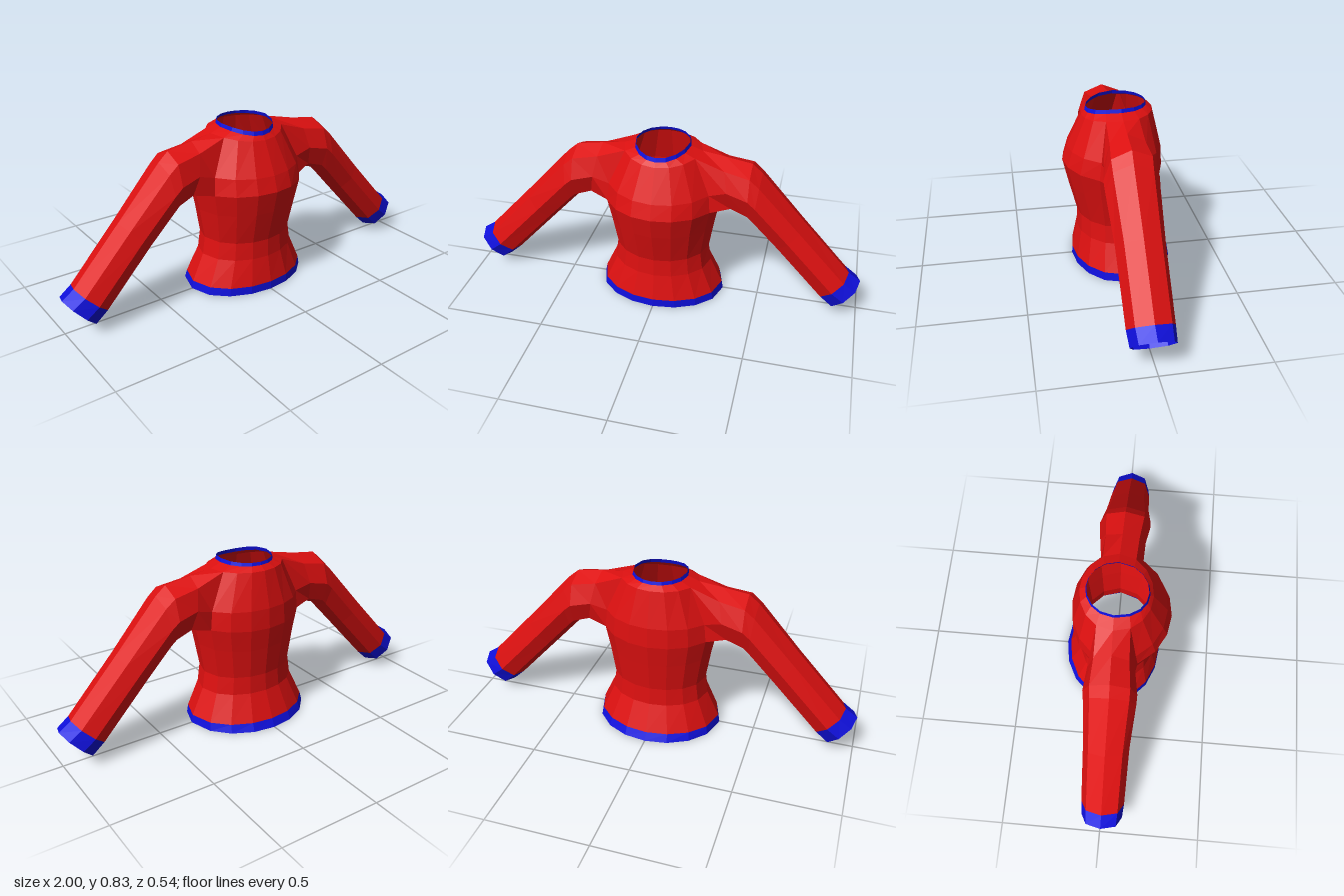
import * as THREE from 'three';

const V = (x, y, z) => new THREE.Vector3(x, y, z);

// angles of the columns round the body, starting at the left side (+x)
const quarter = [0, 27, 49, 70];
const angles = [0, 90, 180, 270].flatMap((base, q) =>
  (q % 2 ? [0, 20, 41, 63] : quarter).map(a => THREE.MathUtils.degToRad(base + a)));

// body ring: side height and half width, front height and depth, back height and depth
function bodyRing([ySide, halfWidth, yFront, zFront, yBack, zBack]) {
  return angles.map(a => {
    const s = Math.sin(a);
    const front = s > 0;
    const y = ySide + ((front ? yFront : yBack) - ySide) * s * s;
    return V(halfWidth * Math.cos(a), y, s * (front ? zFront : zBack));
  });
}

// sleeve ring: top and bottom points, back and front depth
function sleeveRing([tx, ty, bx, by, zBack, zFront]) {
  const cx = (tx + bx) / 2, cy = (ty + by) / 2, zMid = (zBack + zFront) / 2;
  const up = [1, 0.73, 0, -0.73, -1, -0.73, 0, 0.73];
  const out = [0, -0.73, -1, -0.73, 0, 0.73, 1, 0.73];
  return up.map((u, i) => V(cx + (u * (tx - bx)) / 2, cy + (u * (ty - by)) / 2,
    zMid + (out[i] * (zFront - zBack)) / 2));
}

// faceted skin through closed rings; skip(row, column) leaves openings
function loft(rings, skip = () => false) {
  const pos = [];
  for (let r = 0; r < rings.length - 1; r++) {
    const A = rings[r], B = rings[r + 1], n = A.length;
    for (let i = 0; i < n; i++) {
      if (skip(r, i)) continue;
      const j = (i + 1) % n;
      for (const p of [A[j], A[i], B[i], A[j], B[i], B[j]]) pos.push(p.x, p.y, p.z);
    }
  }
  const g = new THREE.BufferGeometry();
  g.setAttribute('position', new THREE.Float32BufferAttribute(pos, 3));
  g.computeVertexNormals();
  return g;
}

export function createModel() {
  const group = new THREE.Group();
  const red = new THREE.MeshStandardMaterial({ color: 0xdd1010, side: THREE.DoubleSide });
  red.name = 'red knit';
  const blue = new THREE.MeshStandardMaterial({ color: 0x0f0fdd, side: THREE.DoubleSide });
  blue.name = 'blue trim';
  const add = (name, geometry, material) => {
    const mesh = new THREE.Mesh(geometry, material);
    mesh.name = name;
    group.add(mesh);
  };

  const body = [
    [0, 0.32, 0, 0.235, 0, 0.27],
    [0.04, 0.312, 0.04, 0.233, 0.04, 0.25],
    [0.175, 0.25, 0.175, 0.207, 0.175, 0.193],
    [0.265, 0.237, 0.265, 0.203, 0.265, 0.187],
    [0.42, 0.262, 0.43, 0.245, 0.41, 0.203],
    [0.53, 0.285, 0.54, 0.27, 0.52, 0.217],
    [0.62, 0.275, 0.615, 0.246, 0.62, 0.212],
    [0.795, 0.19, 0.77, 0.172, 0.795, 0.17],
    [0.815, 0.135, 0.79, 0.156, 0.815, 0.142],
    [0.833, 0.13, 0.81, 0.15, 0.83, 0.137],
  ].map(bodyRing);

  // body with an armhole two columns wide on each side
  const armhole = (r, i) => (r === 4 || r === 5) && [15, 0, 7, 8].includes(i);
  add('hem', loft(body.slice(0, 2)), blue);
  add('torso', loft(body.slice(1, 9), armhole), red);
  add('collar', loft(body.slice(8)), blue);

  // sleeve starts on the armhole edge
  const [low, mid, high] = body.slice(5, 8);
  const seam = [high[0], high[15], mid[15], low[15], low[0], low[1], mid[1], high[1]];
  const sleeve = [seam, ...[
    [0.30, 0.78, 0.355, 0.51, -0.108, 0.115],
    [0.43, 0.76, 0.43, 0.485, -0.12, 0.133],
    [0.48, 0.717, 0.455, 0.46, -0.115, 0.132],
    [0.70, 0.475, 0.57, 0.335, -0.105, 0.117],
    [0.94, 0.216, 0.80, 0.085, -0.1, 0.113],
    [1.0, 0.175, 0.86, 0.03, -0.095, 0.108],
  ].map(sleeveRing)];
  const mirrored = sleeve.map(ring => ring.map(p => V(-p.x, p.y, p.z)).reverse());

  for (const [side, rings] of [['left', sleeve], ['right', mirrored]]) {
    add(side + 'Sleeve', loft(rings.slice(0, 6)), red);
    add(side + 'Cuff', loft(rings.slice(5)), blue);
  }
  return group;
}
